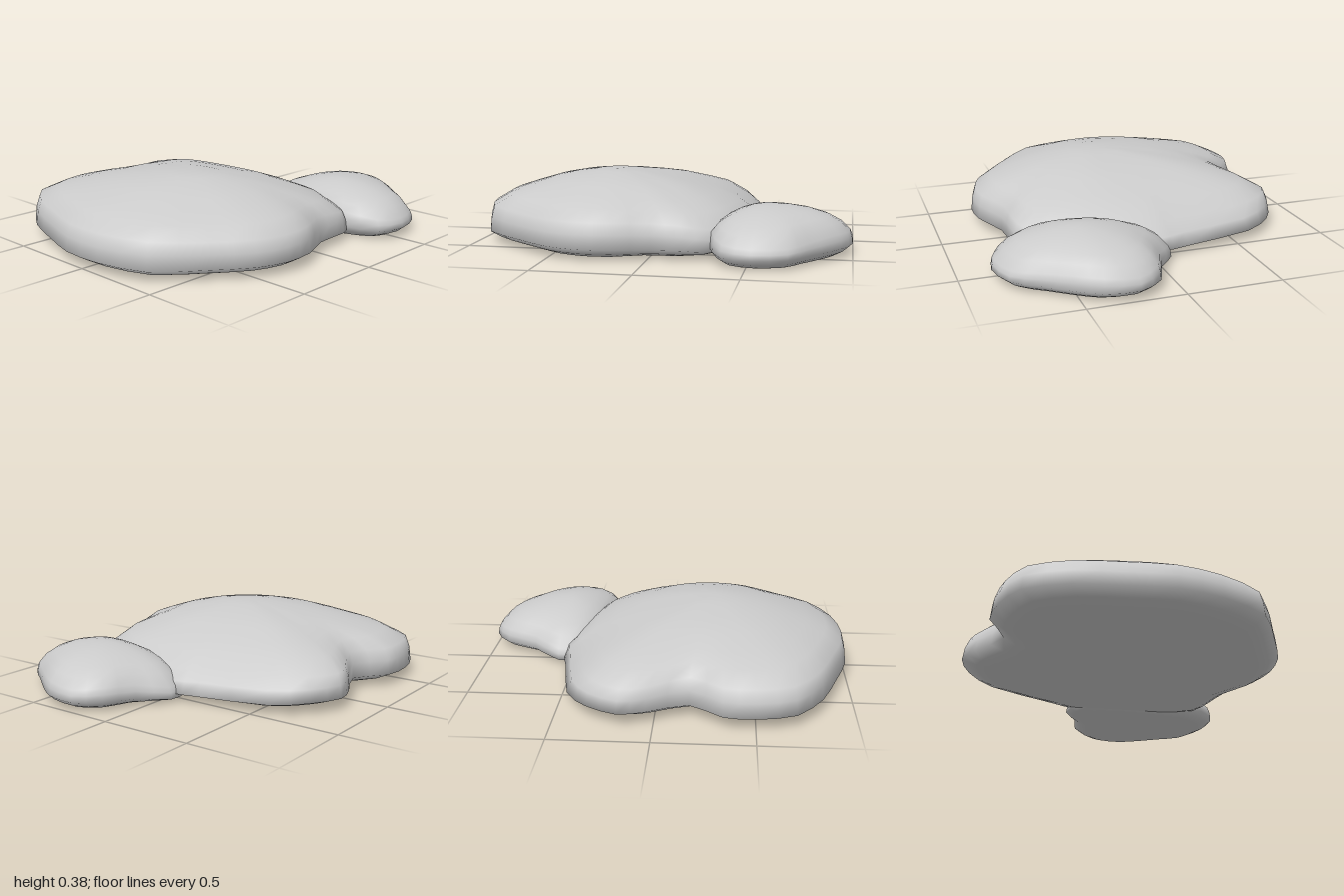
import * as THREE from 'three';

const material = new THREE.MeshStandardMaterial({ color: 0xcccccc });

// A flat stone: rings that shrink from a plan outline towards the crown and the base.
// outline rows: [x, z, height of lower edge, height of upper edge, inset of upper edge]
function makeStone(name, outline, crown, peak, profile, segments) {
  const loop = points => new THREE.CatmullRomCurve3(points, true, 'catmullrom', 0.4);
  const planCurve = loop(outline.map(p => new THREE.Vector3(p[0], 0, p[1])));
  const edgeCurve = loop(outline.map(p => new THREE.Vector3(p[2], p[3], p[4] ?? 0.035)));
  const plan = [], edges = [];
  for (let i = 0; i < segments; i++) {
    plan.push(planCurve.getPoint(i / segments));
    edges.push(edgeCurve.getPoint(i / segments));
  }

  // Softened outline, so notches fade out towards the crown
  const span = Math.round(segments / 12);
  const soft = plan.map((_, i) => {
    const sum = new THREE.Vector3();
    for (let k = -span; k <= span; k++) sum.add(plan[(i + k + segments) % segments]);
    return sum.divideScalar(2 * span + 1);
  });

  // Rings from the flat base, round the rim, up to the crown
  const rings = [
    { s: 0.45, base: 0 }, { s: 0.81, base: 0 }, { s: 0.92, base: 0.45 }, { s: 1, base: 1 },
    { s: 1, side: 0.55 }, { s: 1, side: 1 },
    ...profile.map(([s, rise]) => ({ s, rise })),
  ];
  const positions = [crown[0], 0, crown[1]];
  for (const { s, base, side, rise } of rings) {
    for (let i = 0; i < segments; i++) {
      const { x: low, y: high, z: inset } = edges[i];
      let y, scale = s, fade = 0;
      if (base !== undefined) {
        y = low * base;
      } else if (side !== undefined) {
        y = low + (high - low) * side;
        scale = 1 - inset * side * side;
      } else {
        y = high + (peak - high) * rise;
        scale = s * (1 - inset);
        fade = Math.min(1, (1 - s) * 2.2);
      }
      const p = plan[i].clone().lerp(soft[i], fade);
      positions.push(crown[0] + (p.x - crown[0]) * scale, y, crown[1] + (p.z - crown[1]) * scale);
    }
  }
  const top = positions.length / 3;
  positions.push(crown[0], peak, crown[1]);

  // Outline runs from left through front to right, so faces wind outwards
  const index = [];
  const last = 1 + (rings.length - 1) * segments;
  for (let i = 0; i < segments; i++) {
    const j = (i + 1) % segments;
    index.push(0, 1 + j, 1 + i);
    for (let a = 1; a < last; a += segments) {
      const b = a + segments;
      index.push(a + i, a + j, b + j, a + i, b + j, b + i);
    }
    index.push(last + i, last + j, top);
  }
  const geometry = new THREE.BufferGeometry();
  geometry.setAttribute('position', new THREE.Float32BufferAttribute(positions, 3));
  geometry.setIndex(index);
  geometry.computeVertexNormals();
  const mesh = new THREE.Mesh(geometry, material);
  mesh.name = name;
  return mesh;
}

export function createModel() {
  const group = new THREE.Group();
  group.name = 'flatStones';

  // Large slab with a notch in its back edge and a sloping side towards the small one
  const large = [
    [-1, 0.12, 0.06, 0.2], [-0.92, 0.39, 0.06, 0.2], [-0.7, 0.58, 0.06, 0.19], [-0.51, 0.72, 0.06, 0.19],
    [-0.34, 0.775, 0.06, 0.19], [-0.17, 0.765, 0.06, 0.19], [0.02, 0.68, 0.05, 0.18], [0.18, 0.67, 0.05, 0.17],
    [0.31, 0.63, 0.04, 0.15], [0.43, 0.45, 0.04, 0.15], [0.51, 0.2, 0.04, 0.15, 0.06], [0.56, -0.04, 0.04, 0.15, 0.1],
    [0.53, -0.2, 0.04, 0.16, 0.12], [0.46, -0.58, 0.05, 0.17, 0.1], [0.34, -0.75, 0.06, 0.18, 0.05], [0.18, -0.835, 0.06, 0.18],
    [0.04, -0.8, 0.06, 0.18], [-0.17, -0.71, 0.06, 0.2], [-0.34, -0.835, 0.06, 0.2], [-0.51, -0.845, 0.06, 0.2],
    [-0.7, -0.79, 0.06, 0.2], [-0.84, -0.6, 0.06, 0.2], [-0.93, -0.35, 0.06, 0.2], [-1, -0.12, 0.06, 0.2],
  ];
  group.add(makeStone('largeStone', large, [-0.29, 0.08], 0.38,
    [[0.89, 0.3], [0.75, 0.5], [0.58, 0.71], [0.41, 0.84], [0.2, 0.96]], 48));

  // Small slab tucked against the large one
  const small = [
    [0.3, 0.6, 0.06, 0.14], [0.38, 0.79, 0.05, 0.11], [0.53, 0.84, 0.05, 0.1], [0.7, 0.79, 0.05, 0.1],
    [0.8, 0.66, 0.05, 0.11], [0.9, 0.53, 0.05, 0.12], [0.98, 0.4, 0.05, 0.12], [1, 0.23, 0.05, 0.11],
    [0.91, 0.1, 0.05, 0.12], [0.74, 0.03, 0.04, 0.11], [0.59, -0.08, 0.02, 0.08], [0.45, -0.05, 0.02, 0.08],
    [0.36, 0.15, 0.04, 0.12], [0.32, 0.38, 0.05, 0.14],
  ];
  group.add(makeStone('smallStone', small, [0.57, 0.4], 0.255,
    [[0.9, 0.34], [0.77, 0.58], [0.58, 0.78], [0.37, 0.91], [0.18, 0.98]], 28));

  return group;
}
